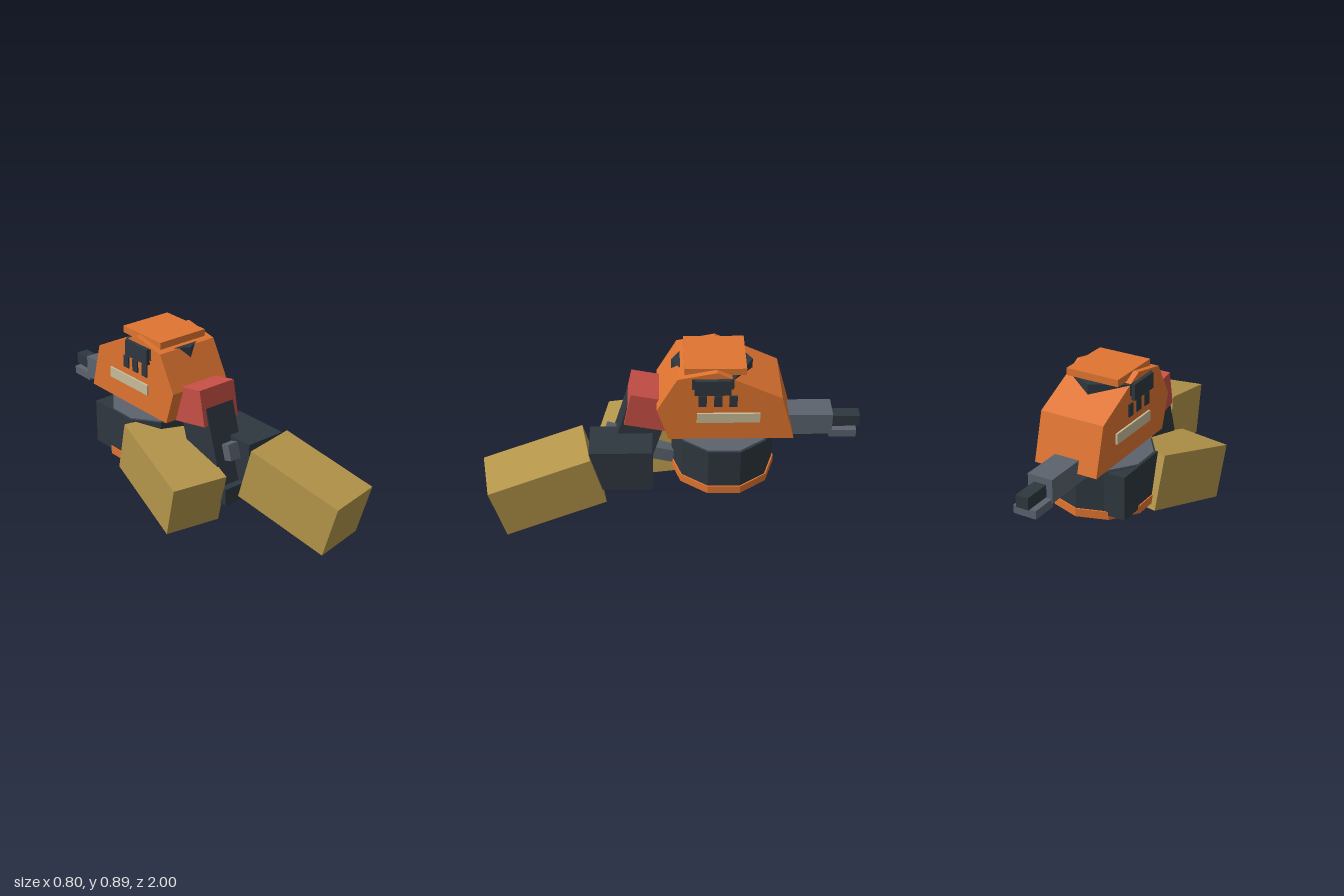
import * as THREE from 'three';

const mat = (name, color) => {
  const m = new THREE.MeshStandardMaterial({ color });
  m.name = name;
  m.flatShading = true;
  return m;
};

export function createModel() {
  const root = new THREE.Group();
  root.name = 'walkerRobot';
  const orange = mat('orange', 0xe07430);
  const red = mat('red', 0xc85046);
  const gold = mat('gold', 0xb5964a);
  const dark = mat('charcoal', 0x2e373f);
  const slate = mat('slate', 0x5b636e);
  const cream = mat('cream', 0xc8bc98);

  const add = (name, geometry, material, x, y, z, parent = root) => {
    const mesh = new THREE.Mesh(geometry, material);
    mesh.name = name;
    mesh.position.set(x, y, z);
    parent.add(mesh);
    return mesh;
  };
  // Box given by its limits on each axis
  const span = (name, material, [x0, x1], [y0, y1], [z0, z1], parent) =>
    add(name, new THREE.BoxGeometry(x1 - x0, y1 - y0, z1 - z0), material,
      (x0 + x1) / 2, (y0 + y1) / 2, (z0 + z1) / 2, parent);
  // Box given by centre and size, pitched about x
  const tilted = (name, material, size, [x, y, z], pitch) => {
    const mesh = add(name, new THREE.BoxGeometry(...size), material, x, y, z);
    mesh.rotation.x = pitch;
    return mesh;
  };
  // Upright faceted cylinder given by its height limits
  const drum = (name, material, r, y0, y1, z, sides) =>
    add(name, new THREE.CylinderGeometry(r, r, y1 - y0, sides), material, 0, (y0 + y1) / 2, z);

  // Cabin: side profile (z, y) extruded across x
  const profile = new THREE.Shape([
    [0.015, 0.475], [0.075, 0.66], [-0.03, 0.85], [-0.23, 0.89], [-0.565, 0.73], [-0.635, 0.475],
  ].map(([z, y]) => new THREE.Vector2(z, y)));
  const cabin = new THREE.ExtrudeGeometry(profile, { depth: 0.36, bevelEnabled: false });
  cabin.translate(0, 0, -0.18).rotateY(-Math.PI / 2);
  add('cabin', cabin, orange, 0, 0, 0);
  drum('visor', dark, 0.21, 0.79, 0.853, -0.21, 6);
  span('roofHatch', orange, [-0.15, 0.15], [0.857, 0.895], [-0.38, -0.065]);

  // Side panel, vents and light strip
  span('sidePanel', dark, [-0.2, 0.2], [0.765, 0.852], [-0.302, -0.117]);
  for (const z of [-0.158, -0.238, -0.315]) {
    span('sideVent', dark, [-0.188, 0.188], [0.685, 0.752], [z - 0.021, z + 0.021]);
  }
  span('lightStrip', cream, [-0.191, 0.191], [0.586, 0.643], [-0.455, -0.13]);

  // Neck and drum body
  drum('neck', gold, 0.08, 0.44, 0.49, -0.275, 10);
  drum('bodyDrum', dark, 0.272, 0.21, 0.444, -0.275, 10);
  drum('drumCap', slate, 0.262, 0.43, 0.45, -0.275, 10);
  drum('drumBase', orange, 0.28, 0.175, 0.22, -0.275, 10);

  // Chest block, sloping waist column and links
  tilted('chestBlock', red, [0.23, 0.195, 0.316], [0, 0.5835, 0.0725], -0.2);
  tilted('waistColumn', dark, [0.18, 0.44, 0.22], [0, 0.368, 0.19], -0.296);
  tilted('columnKnob', slate, [0.07, 0.088, 0.15], [0, 0.365, 0.282], -0.296);
  tilted('rearLink', slate, [0.07, 0.078, 0.3], [0, 0.257, 0.06], -0.23);
  span('pelvis', dark, [-0.095, 0.095], [0.117, 0.208], [0.123, 0.393]);

  // Rear gun
  span('gunHousing', slate, [-0.07, 0.07], [0.415, 0.54], [-0.85, -0.54]);
  span('gunBarrel', dark, [-0.035, 0.035], [0.44, 0.505], [-1, -0.84]);
  span('gunRail', slate, [-0.064, 0.064], [0.39, 0.435], [-0.982, -0.84]);

  // Striding legs: the left leads, the right trails by 0.6
  for (const [side, name, shift] of [[1, 'leftLeg', 0], [-1, 'rightLeg', -0.6]]) {
    const leg = new THREE.Group();
    leg.name = name;
    leg.position.z = shift;
    root.add(leg);
    add('thigh', new THREE.BoxGeometry(0.23, 0.243, 0.332), dark, side * 0.145, 0.321, 0.264, leg);
    const shin = add('shin', new THREE.BoxGeometry(0.308, 0.3, 0.555), gold,
      side * 0.195, 0.2175, 0.672, leg);
    shin.rotation.set(0.262, side * 0.175, 0, 'YXZ');
  }
  return root;
}
